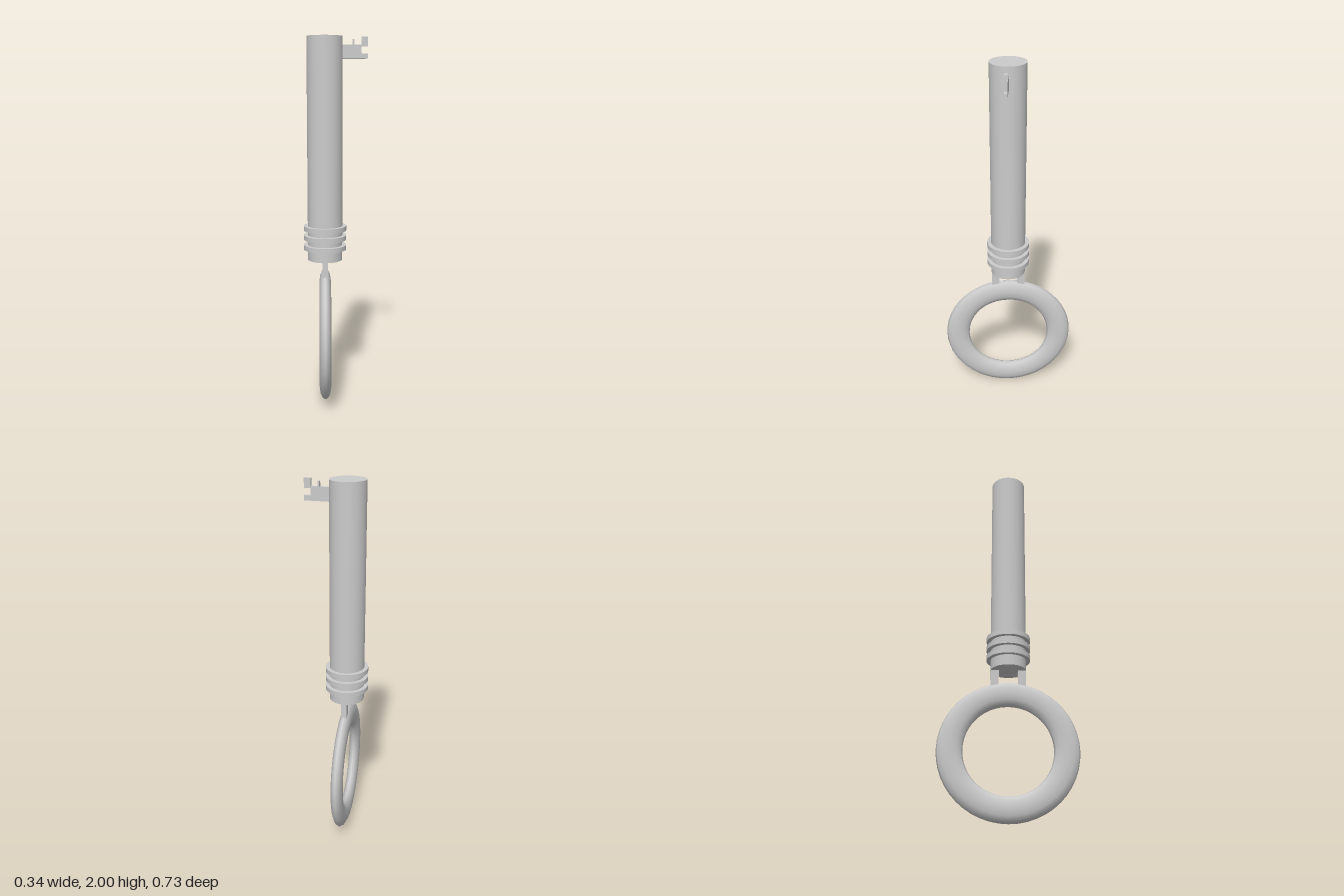
import * as THREE from 'three';

const AXIS_X = -0.056;

export function createModel() {
  const model = new THREE.Group();
  const smooth = new THREE.MeshStandardMaterial({ color: 0xcccccc });

  const add = (name, geometry, x, y, z) => {
    const mesh = new THREE.Mesh(geometry, smooth);
    mesh.name = name;
    mesh.position.set(x, y, z);
    model.add(mesh);
    return mesh;
  };

  // Long round shaft
  add('shaft', new THREE.CylinderGeometry(0.095, 0.095, 1.2, 48), AXIS_X, 1.4, 0);

  // Three raised collars near the shaft's lower end
  for (const y of [0.871, 0.926, 0.978]) {
    add('collar', new THREE.CylinderGeometry(0.117, 0.117, 0.026, 48), AXIS_X, y, 0);
  }

  // Flattened ring handle
  const ring = new THREE.TorusGeometry(0.299, 0.067, 12, 48);
  ring.rotateY(Math.PI / 2);
  ring.scale(0.48, 1, 1);
  add('ringHandle', ring, AXIS_X, 0.367, 0);

  // Two posts joining the ring to the shaft
  for (const side of [-1, 1]) {
    add('post', new THREE.BoxGeometry(0.03, 0.13, 0.042), AXIS_X, 0.74, side * 0.072);
  }

  // Notched bit, drawn outward from the shaft's axis and turned slightly forward
  const outline = [
    [0.08, 1.884], [0.228, 1.884], [0.228, 1.91], [0.193, 1.91], [0.193, 1.946],
    [0.228, 1.946], [0.228, 1.996], [0.193, 1.996], [0.193, 1.956], [0.157, 1.956],
    [0.157, 1.984], [0.147, 1.984], [0.147, 1.956], [0.08, 1.956],
  ].map(([x, y]) => new THREE.Vector2(x, y));
  const bit = new THREE.ExtrudeGeometry(new THREE.Shape(outline), { depth: 0.017, bevelEnabled: false });
  bit.translate(0, 0, -0.0085);
  add('bit', bit, AXIS_X, 0, 0).rotation.y = -0.095;

  return model;
}
